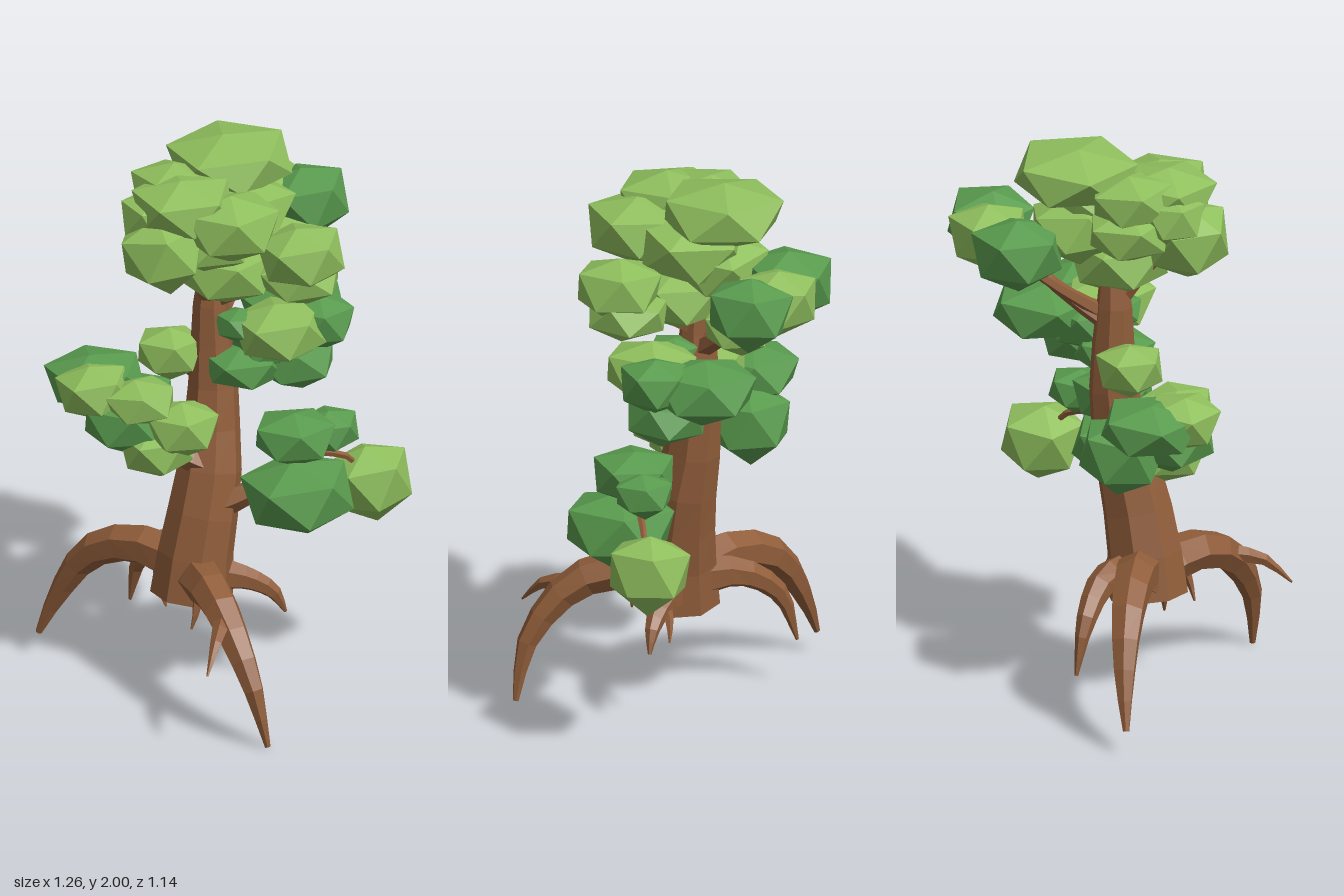
import * as THREE from 'three';

const mat = (name, color) => Object.assign(new THREE.MeshStandardMaterial({ color }), { name });

export function createModel() {
  const tree = new THREE.Group();
  tree.name = 'tree';
  const bark = mat('bark brown', 0x905d3a);
  const light = mat('light leaf green', 0x90c05e);
  const dark = mat('dark leaf green', 0x5a9c4f);

  const add = (name, geometry, material) => {
    const mesh = new THREE.Mesh(geometry, material);
    mesh.name = name;
    tree.add(mesh);
    return mesh;
  };

  // Tapered faceted tube; each point is [x, y, z, radius]
  function limb(name, pts, sides = 6, steps = 8) {
    const curve = new THREE.CatmullRomCurve3(pts.map(p => new THREE.Vector3(p[0], p[1], p[2])));
    const tube = new THREE.TubeGeometry(curve, steps, 1, sides);
    const pos = tube.attributes.position;
    const v = new THREE.Vector3();
    for (let i = 0; i <= steps; i++) {
      const u = i / steps;
      const c = curve.getPointAt(u);
      const k = curve.getUtoTmapping(u) * (pts.length - 1);
      const a = Math.min(Math.floor(k), pts.length - 2);
      const r = THREE.MathUtils.lerp(pts[a][3], pts[a + 1][3], k - a);
      for (let j = 0; j <= sides; j++) {
        const n = i * (sides + 1) + j;
        v.fromBufferAttribute(pos, n).sub(c).multiplyScalar(r).add(c);
        pos.setXYZ(n, v.x, v.y, v.z);
      }
    }
    const flat = tube.toNonIndexed();
    flat.computeVertexNormals();
    return add(name, flat, bark);
  }

  // Trunk, leaning and narrowing upwards
  limb('trunk', [
    [-0.14, 0.36, 0.005, 0.145], [-0.12, 0.55, 0, 0.13], [-0.08, 0.75, -0.02, 0.12],
    [-0.06, 0.95, -0.06, 0.1], [-0.052, 1.15, -0.08, 0.085],
    [-0.06, 1.4, -0.08, 0.065], [-0.045, 1.72, -0.08, 0.025],
  ], 8, 9);
  const base = add('trunkBase', new THREE.CircleGeometry(0.145, 8).rotateX(Math.PI / 2), bark);
  base.position.set(-0.14, 0.362, 0.005);

  // Large arching roots
  limb('frontRoot', [[-0.13, 0.43, 0.02, 0.09], [-0.11, 0.465, 0.19, 0.074], [-0.07, 0.41, 0.36, 0.063],
    [0, 0.22, 0.505, 0.039], [0.05, 0.0, 0.54, 0.011]]);
  limb('rightRoot', [[-0.12, 0.45, 0, 0.09], [-0.31, 0.49, -0.15, 0.072], [-0.45, 0.42, -0.26, 0.06],
    [-0.55, 0.25, -0.33, 0.038], [-0.62, 0.08, -0.365, 0.012]]);
  limb('backRoot', [[-0.13, 0.45, -0.04, 0.08], [-0.19, 0.46, -0.2, 0.052], [-0.27, 0.36, -0.32, 0.034],
    [-0.3, 0.18, -0.375, 0.006]]);
  limb('leftRoot', [[-0.08, 0.43, 0, 0.07], [0.05, 0.41, 0.02, 0.042], [0.14, 0.36, 0.03, 0.028],
    [0.185, 0.28, 0.03, 0.006]]);

  // Rootlets
  [
    [[-0.08, 0.41, 0.37, 0.035], [-0.12, 0.38, 0.48, 0.022], [-0.165, 0.29, 0.57, 0.004]],
    [[-0.17, 0.44, 0.08, 0.03], [-0.14, 0.4, 0.16, 0.02], [-0.165, 0.3, 0.18, 0.004]],
    [[0.02, 0.41, 0.02, 0.025], [0.1, 0.37, -0.02, 0.015], [0.14, 0.31, -0.03, 0.003]],
    [[-0.24, 0.46, -0.08, 0.03], [-0.25, 0.39, 0.0, 0.016], [-0.23, 0.32, 0.02, 0.004]],
  ].forEach(p => limb('rootlet', p, 5, 4));

  // Branches reaching into the leaf clusters
  [
    [[-0.08, 0.84, 0, 0.06], [-0.19, 0.9, 0.02, 0.035], [-0.33, 1.02, -0.06, 0.015]],
    [[-0.2, 0.91, 0.01, 0.03], [-0.3, 0.96, -0.12, 0.02], [-0.42, 1.08, -0.17, 0.01]],
    [[-0.05, 0.7, 0.02, 0.06], [0.08, 0.76, 0.06, 0.035], [0.22, 0.85, 0.08, 0.015]],
    [[0.1, 0.78, 0.06, 0.02], [0.3, 0.88, 0.04, 0.014], [0.42, 0.91, 0.0, 0.006]],
    [[0.3, 0.88, 0.04, 0.014], [0.4, 0.84, 0.0, 0.012], [0.47, 0.76, -0.03, 0.008]],
    [[-0.05, 1.12, -0.07, 0.05], [0.06, 1.22, -0.06, 0.03], [0.22, 1.33, -0.1, 0.012]],
    [[-0.05, 1.1, -0.09, 0.04], [-0.12, 1.16, -0.08, 0.025], [-0.2, 1.22, -0.07, 0.01]],
    [[-0.05, 1.34, -0.08, 0.04], [0.06, 1.46, -0.22, 0.026], [0.2, 1.62, -0.36, 0.01]],
    [[-0.03, 1.38, -0.1, 0.03], [0.0, 1.5, -0.27, 0.02], [0.03, 1.62, -0.42, 0.01]],
    [[-0.05, 1.4, -0.08, 0.035], [-0.13, 1.55, 0.0, 0.02], [-0.24, 1.7, 0.08, 0.01]],
    [[-0.05, 1.42, -0.08, 0.03], [0.08, 1.53, 0.06, 0.02], [0.23, 1.64, 0.12, 0.01]],
  ].forEach(p => limb('branch', p, 5, 4));

  // Leaf clump: broad shallow top over a tapering underside
  const up = Math.atan2(1, (1 + Math.sqrt(5)) / 2);
  function clump() {
    const g = new THREE.IcosahedronGeometry(1, 0).rotateX(Math.PI / 2 - up);
    const pos = g.attributes.position;
    for (let i = 0; i < pos.count; i++) {
      const y = pos.getY(i);
      if (Math.abs(y) > 0.9) continue;
      const s = y > 0 ? 1.12 : 1.06;
      pos.setXYZ(i, pos.getX(i) * s, y > 0 ? 0.63 : -0.34, pos.getZ(i) * s);
    }
    return g;
  }

  // Each clump: [x, y, z, horizontal radius, half height]
  function leaves(name, material, list) {
    list.forEach(([x, y, z, r, h], i) => {
      const g = clump();
      g.rotateZ(0.18 * Math.sin(i * 2.3 + 1));
      g.rotateY(i * 1.9);
      g.scale(r * 1.07, h * 1.02, r * 1.07);
      g.computeVertexNormals();
      add(name, g, material).position.set(x, y, z);
    });
  }

  leaves('crownLeaves', light, [
    [0.03, 1.885, -0.19, 0.2, 0.11], [-0.02, 1.78, 0.13, 0.16, 0.12], [-0.17, 1.83, 0.05, 0.165, 0.11],
    [-0.25, 1.68, 0.1, 0.14, 0.14], [-0.19, 1.84, -0.08, 0.14, 0.1], [-0.01, 1.55, -0.03, 0.165, 0.115],
    [-0.2, 1.73, -0.1, 0.14, 0.1], [0.03, 1.75, -0.08, 0.18, 0.13], [-0.28, 1.78, 0.02, 0.105, 0.1],
    [-0.08, 1.69, 0.03, 0.15, 0.11], [0.02, 1.69, -0.19, 0.15, 0.12],
  ]);
  leaves('upperLightLeaves', light, [
    [0.23, 1.65, 0.13, 0.14, 0.115], [0.2, 1.65, -0.43, 0.13, 0.12], [0.25, 1.56, -0.31, 0.12, 0.09],
    [0.23, 1.56, 0.1, 0.135, 0.085],
  ]);
  leaves('upperDarkLeaves', dark, [
    [0.315, 1.645, -0.36, 0.14, 0.13], [0.02, 1.64, -0.42, 0.15, 0.13],
  ]);
  leaves('middleLeaves', dark, [
    [0.25, 1.31, -0.18, 0.17, 0.11], [0.31, 1.34, -0.02, 0.115, 0.1],
    [0.05, 1.19, -0.02, 0.13, 0.08], [0.23, 1.19, -0.04, 0.135, 0.095], [0.03, 1.35, -0.01, 0.08, 0.06],
    [0.15, 1.27, -0.05, 0.14, 0.1],
  ]);
  leaves('middleLightLeaves', light, [
    [0.17, 1.33, 0.03, 0.15, 0.11], [-0.2, 1.22, -0.1, 0.11, 0.095],
  ]);
  leaves('rightDarkLeaves', dark, [
    [-0.445, 1.1, -0.17, 0.16, 0.1], [-0.36, 1.0, -0.03, 0.145, 0.11], [-0.31, 0.96, -0.2, 0.14, 0.14],
  ]);
  leaves('rightLightLeaves', light, [
    [-0.47, 1.11, -0.05, 0.12, 0.1], [-0.18, 1.0, 0.06, 0.12, 0.1], [-0.26, 0.91, 0.02, 0.12, 0.1],
    [-0.32, 1.09, 0.02, 0.12, 0.085],
  ]);
  leaves('leftDarkLeaves', dark, [
    [0.22, 0.75, 0.13, 0.18, 0.135], [0.21, 0.95, 0.08, 0.135, 0.095], [0.345, 0.94, 0.01, 0.095, 0.08],
  ]);
  leaves('leftLightLeaves', light, [[0.495, 0.71, -0.045, 0.135, 0.14]]);

  return tree;
}
